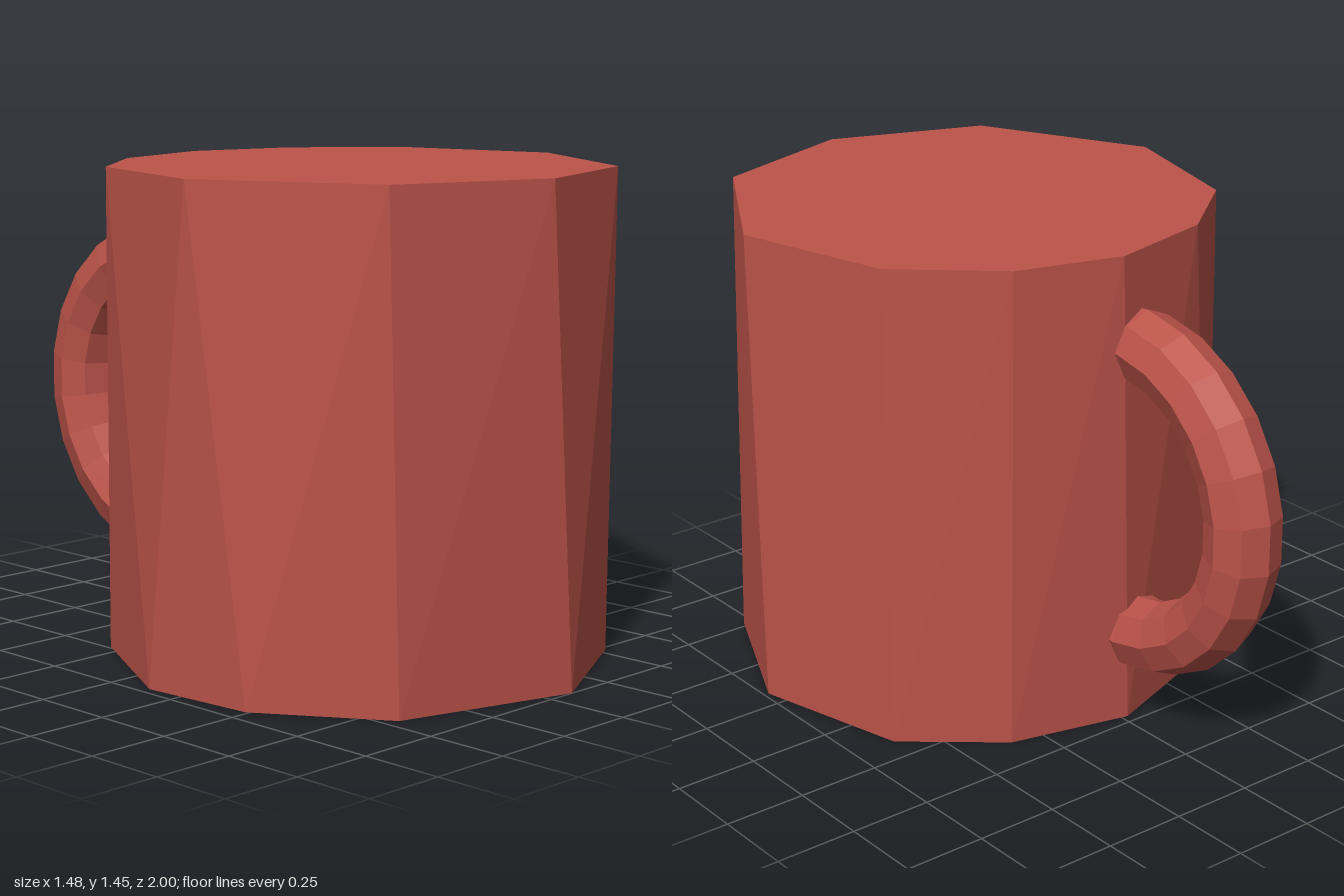
import * as THREE from 'three';
import { ConvexGeometry } from 'three/addons/geometries/ConvexGeometry.js';

export function createModel() {
  const group = new THREE.Group();
  const clay = new THREE.MeshStandardMaterial({ color: 0xbb5349, flatShading: true });
  clay.name = 'red clay';

  // Cup body: solid hull between two slightly mismatched ten-sided rims, [x, z]
  const height = 1.45;
  const topRim = [
    [-0.02, 1], [0.45, 0.845], [0.735, 0.35], [0.61, -0.14], [0.34, -0.38],
    [0.02, -0.47], [-0.33, -0.385], [-0.6, -0.17], [-0.74, 0.31], [-0.49, 0.83],
  ];
  const baseRim = [
    [0.09, 1], [0.53, 0.77], [0.735, 0.32], [0.615, -0.16], [0.35, -0.38],
    [-0.02, -0.47], [-0.49, -0.3], [-0.72, 0.13], [-0.69, 0.49], [-0.455, 0.845],
  ];
  const ring = (rim, y) => rim.map(([x, z]) => new THREE.Vector3(x, y, z));
  const body = new THREE.Mesh(
    new ConvexGeometry([...ring(topRim, height), ...ring(baseRim, 0)]), clay);
  body.name = 'cupBody';
  group.add(body);

  // Handle: faceted half ring at the back, its ends sunk into the body
  const arc = THREE.MathUtils.degToRad(204);
  const ringGeometry = new THREE.TorusGeometry(0.45, 0.11, 8, 13, arc);
  ringGeometry.rotateZ(-arc / 2);
  ringGeometry.rotateY(Math.PI / 2);
  const handle = new THREE.Mesh(ringGeometry, clay);
  handle.position.set(-0.065, 0.717, -0.442);
  handle.name = 'handle';
  group.add(handle);

  return group;
}
